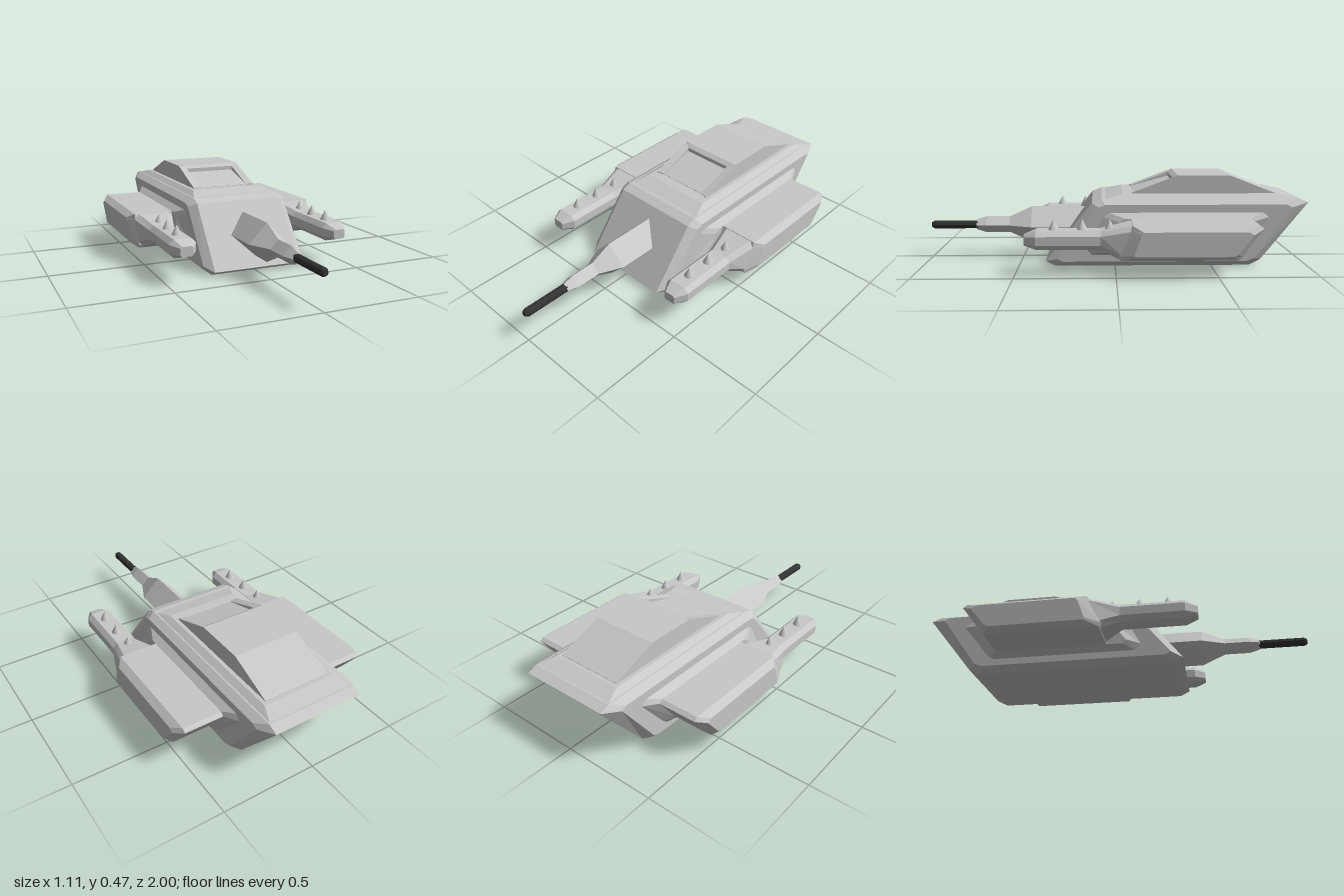
import * as THREE from 'three';

// Flat-shaded skin over a list of matching cross-sections, closed at both ends.
function loft(rings) {
  const tris = [];
  const n = rings[0].length;
  for (let r = 0; r < rings.length - 1; r++) {
    for (let i = 0; i < n; i++) {
      const j = (i + 1) % n;
      const a = rings[r][i], b = rings[r][j], c = rings[r + 1][j], d = rings[r + 1][i];
      tris.push([a, b, c], [a, c, d]);
    }
  }
  const first = rings[0], last = rings[rings.length - 1];
  for (let i = 1; i < n - 1; i++) {
    tris.push([first[0], first[i + 1], first[i]], [last[0], last[i], last[i + 1]]);
  }
  // Turn the faces outward whatever the direction of the sections
  let volume = 0;
  const v = [0, 1, 2].map(() => new THREE.Vector3());
  for (const t of tris) {
    t.forEach((p, k) => v[k].set(...p));
    volume += v[0].dot(v[1].clone().cross(v[2]));
  }
  const points = tris.flatMap(([a, b, c]) => (volume < 0 ? [a, c, b] : [a, b, c]));
  const g = new THREE.BufferGeometry();
  g.setAttribute('position', new THREE.Float32BufferAttribute(points.flat(), 3));
  g.computeVertexNormals();
  return g;
}

// Side profile of [z, y] points placed at x
const side = (x, profile) => profile.map(([z, y]) => [x, y, z]);

// Chamfered rectangle facing z, leaning back by the given slope
function chamfered(cx, cy, z, w, h, c, lean = 0) {
  return [[w, c - h], [w, h - c], [w - c, h], [c - w, h], [-w, h - c], [-w, c - h], [c - w, -h], [w - c, -h]]
    .map(([x, y]) => [cx + x, cy + y, z - y * lean]);
}

// Regular polygon facing z
function polygon(sides, cy, z, r) {
  return Array.from({ length: sides }, (_, i) => {
    const a = (i / sides) * Math.PI * 2;
    return [Math.cos(a) * r, cy + Math.sin(a) * r, z];
  });
}

export function createModel() {
  const model = new THREE.Group();
  model.name = 'armouredCraft';
  const grey = new THREE.MeshStandardMaterial({ name: 'hull grey', color: 0xc8c8c8 });
  const black = new THREE.MeshStandardMaterial({ name: 'barrel black', color: 0x333333 });

  const add = (name, geometry, material = grey) => {
    const mesh = new THREE.Mesh(geometry, material);
    mesh.name = name;
    model.add(mesh);
    return mesh;
  };

  // Raked hull with chamfered flanks
  const hullFull = [[0.36, 0.025], [0.12, 0.33], [0.07, 0.35], [-0.95, 0.35],
    [-1, 0.33], [-0.76, 0.03], [-0.7, 0], [0.31, 0]];
  const hullInset = [[0.3, 0.045], [0.085, 0.312], [0.05, 0.325], [-0.88, 0.325],
    [-0.91, 0.31], [-0.72, 0.045], [-0.68, 0.03], [0.27, 0.03]];
  add('hull', loft([side(-0.28, hullInset), side(-0.24, hullFull), side(0.24, hullFull), side(0.28, hullInset)]));

  // Raised deck under the cabin
  const deck = (y, w, front, back) => [[-w, y, front], [w, y, front], [w, y, back], [-w, y, back]];
  add('deck', loft([deck(0.345, 0.24, 0.07, -0.96), deck(0.37, 0.2, -0.04, -0.86)]));

  // Cabin with a lip above the sunken window
  const cabinOuter = [[-0.33, 0.36], [-0.33, 0.462], [-0.33, 0.465], [-0.6, 0.465], [-0.84, 0.372], [-0.84, 0.36]];
  const cabinInner = [[-0.305, 0.36], [-0.305, 0.45], ...cabinOuter.slice(2)];
  add('cabin', loft([side(-0.18, cabinOuter), side(-0.14, cabinInner), side(0.14, cabinInner), side(0.18, cabinOuter)]));
  const pane = [[-0.1, 0.36], [-0.1, 0.372], [-0.31, 0.43], [-0.31, 0.36]];
  add('windowPanel', loft([side(-0.14, pane), side(0.14, pane)]));

  // Cannon: square housing stepping down to a round barrel
  const gunY = 0.177;
  add('cannonHousing', loft([[0, 0.1], [0.45, 0.1], [0.57, 0.045], [0.7, 0.045], [0.755, 0.028]]
    .map(([z, r]) => polygon(4, gunY, z, r))));
  add('cannonBarrel', loft([[0.74, 0.022], [0.985, 0.022], [1, 0.014]]
    .map(([z, r]) => polygon(10, gunY, z, r))), black);

  const collarBase = [[0.15, 0.1], [0.06, 0.265], [0.03, 0.285], [-0.76, 0.285],
    [-0.79, 0.26], [-0.65, 0.085], [-0.62, 0.065], [0.12, 0.065]];
  const podBack = [[-0.69, 0.26], [-0.71, 0.245], [-0.61, 0.11], [-0.59, 0.09]];
  const collarRim = [[0.08, 0.11], [-0.02, 0.24], [-0.05, 0.26], ...podBack, [0.06, 0.09]];
  const podFull = [[-0.01, 0.11], [-0.07, 0.24], [-0.08, 0.26], ...podBack, [-0.02, 0.09]];
  const podInset = [[-0.085, 0.125], [-0.12, 0.222], [-0.13, 0.235], [-0.63, 0.235],
    [-0.655, 0.22], [-0.58, 0.125], [-0.56, 0.115], [-0.09, 0.115]];
  const railOuter = [[-0.09, 0.36], [-0.09, 0.375], [-0.33, 0.465], [-0.34, 0.36]];
  const railInner = [[-0.1, 0.36], [-0.1, 0.374], [-0.305, 0.45], [-0.34, 0.36]];

  for (const [s, label] of [[1, 'left'], [-1, 'right']]) {
    // Window side rail
    add(label + 'WindowRail', loft([side(s * 0.14, railInner), side(s * 0.18, railOuter)]));

    // Side pod and the collar joining it to the hull
    add(label + 'Collar', loft([side(s * 0.26, collarBase), side(s * 0.28, collarBase), side(s * 0.315, collarRim)]));
    add(label + 'Pod', loft([side(s * 0.31, podFull), side(s * 0.52, podFull), side(s * 0.555, podInset)]));

    // Forward arm growing out of the pod's tapered nose
    const cx = s * 0.42;
    add(label + 'PodNose', loft([chamfered(cx, 0.175, -0.05, 0.105, 0.083, 0.025, 0.4),
      chamfered(cx, 0.18, 0.075, 0.068, 0.046, 0.024)]));
    add(label + 'Arm', loft([chamfered(cx, 0.18, 0, 0.068, 0.046, 0.024),
      chamfered(cx, 0.18, 0.39, 0.068, 0.046, 0.024), chamfered(cx, 0.177, 0.45, 0.032, 0.025, 0.008)]));

    // Row of spikes along the arm
    for (const z of [0.03, 0.165, 0.305]) {
      const spike = add(label + 'Spike', new THREE.ConeGeometry(0.029, 0.058, 14));
      spike.position.set(cx, 0.249, z);
    }
  }
  return model;
}
